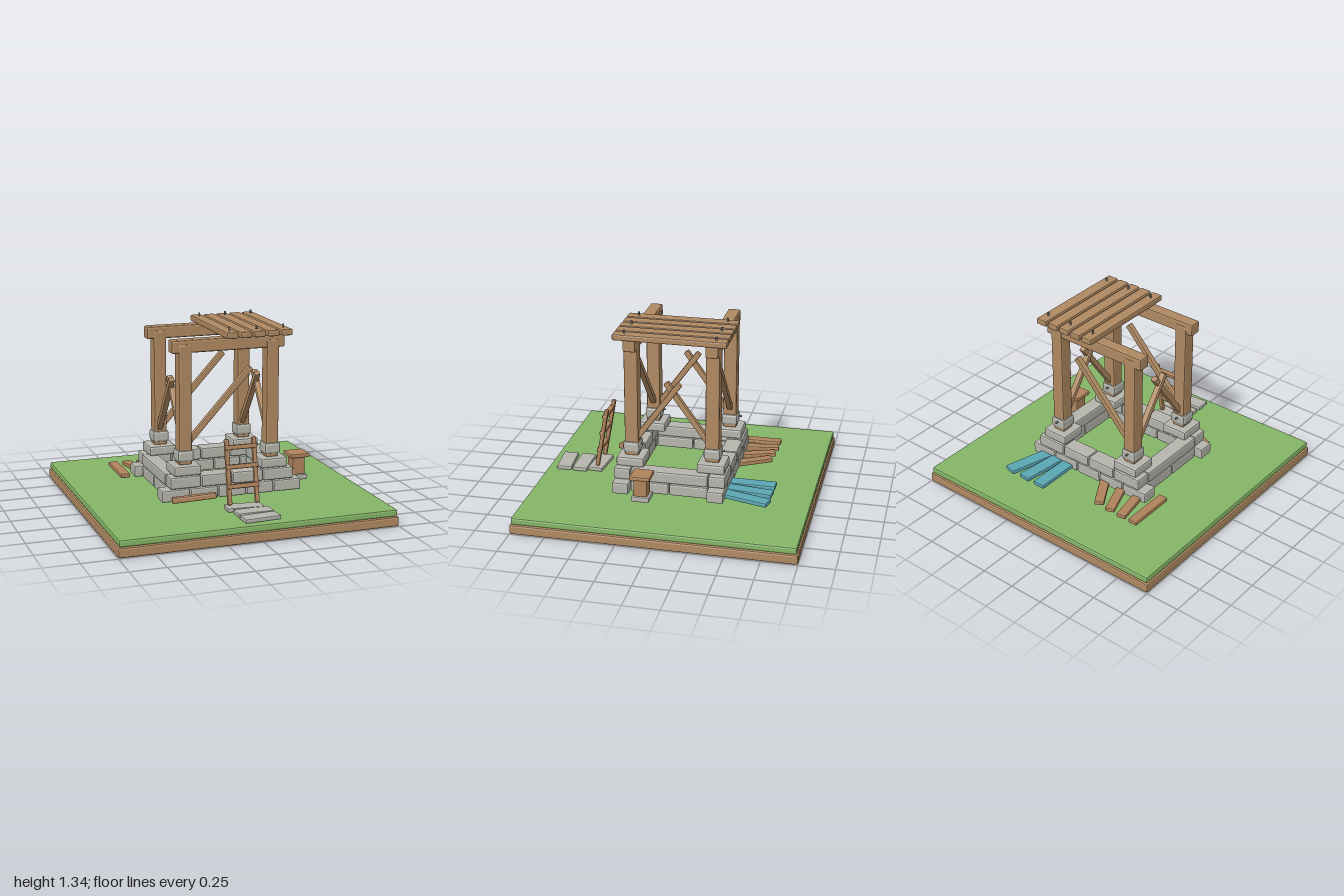
import * as THREE from 'three';
import { RoundedBoxGeometry } from 'three/addons/geometries/RoundedBoxGeometry.js';

const material = (name, color) => {
  const m = new THREE.MeshStandardMaterial({ color });
  m.name = name;
  return m;
};

export function createModel() {
  const wood = material('wood', 0xb08a62);
  const warmWood = material('warm wood', 0xb0845c);
  const stone = material('stone', 0xb6b6ae);
  const grass = material('grass', 0x86b668);
  const teal = material('teal paint', 0x5aa7b4);
  const iron = material('iron', 0x80807c);

  const model = new THREE.Group();
  model.name = 'unfinishedTimberFrame';

  // Box with chamfered edges, placed by its centre
  function block(name, mat, [w, h, d], [x, y, z], bevel = 0.01, parent = model) {
    const g = new RoundedBoxGeometry(w, h, d, 1, Math.min(bevel, w * 0.3, h * 0.3, d * 0.3));
    g.computeVertexNormals();
    const mesh = new THREE.Mesh(g, mat);
    mesh.name = name;
    mesh.position.set(x, y, z);
    parent.add(mesh);
    return mesh;
  }

  // Square timber between two points
  function timber(name, mat, from, to, size) {
    const a = new THREE.Vector3(...from), b = new THREE.Vector3(...to);
    const mesh = block(name, mat, [size, size, a.distanceTo(b)], a.clone().add(b).multiplyScalar(0.5).toArray(), 0.008);
    mesh.lookAt(b);
    return mesh;
  }

  function nail(x, y, z, alongZ = false) {
    const mesh = new THREE.Mesh(new THREE.CylinderGeometry(0.007, 0.007, 0.03, 8), iron);
    mesh.name = 'nail';
    mesh.position.set(x, y, z);
    if (alongZ) mesh.rotation.x = Math.PI / 2;
    model.add(mesh);
  }

  // Ground
  block('soilSlab', wood, [2, 0.07, 2], [0, 0.035, 0], 0.012);
  block('grassSlab', grass, [1.98, 0.05, 1.98], [0, 0.095, 0], 0.012);

  // Two courses of stone on each side
  for (const s of [1, -1]) {
    [[1.04, 5, 0.188], [0.92, 4, 0.277]].forEach(([length, count, y]) => {
      const step = length / count;
      for (let i = 0; i < count; i++) {
        block('wallStone', stone, [step - 0.006, 0.085, 0.12], [(i + 0.5) * step - length / 2, y, s * 0.34], 0.012);
      }
    });
    for (let i = 0; i < 2; i++) {
      block('sideWallStone', stone, [0.11, 0.085, 0.275], [s * 0.405, 0.188, (i - 0.5) * 0.28], 0.012);
    }
    block('sideWallStone', stone, [0.11, 0.085, 0.555], [s * 0.405, 0.277, 0], 0.012);
  }

  // Piers, posts and caps at the four corners
  for (const x of [-0.325, 0.32]) {
    for (const z of [-0.29, 0.29]) {
      block('pierStone', stone, [0.2, 0.07, 0.2], [x, 0.355, z], 0.014);
      block('postCollar', stone, [0.12, 0.085, 0.12], [x, 0.45, z], 0.018);
      block('post', wood, [0.095, 0.85, 0.1], [x, 0.81, z], 0.012);
      nail(x, 0.465, z - 0.068, true);
    }
  }

  // Beams and diagonal braces
  for (const s of [1, -1]) {
    block('beam', wood, [0.83, 0.09, 0.09], [-0.005, 1.22, s * 0.29], 0.012);
    timber('longBrace', wood, [-0.29, 0.54, s * 0.29], [0.17, 1.04, s * 0.29], 0.042);
    for (const x of [-0.325, 0.32]) {
      timber('crossBrace', wood, [x + s * 0.006, 0.51, s * 0.26], [x + s * 0.006, 0.94, s * -0.05], 0.042);
    }
  }

  // Roof planks, nailed on every other one
  for (let i = 0; i < 5; i++) {
    block('roofPlank', wood, [0.085, 0.045, 0.8], [i * 0.1, 1.288, 0], 0.01);
    if (i % 2 === 0) for (const z of [-0.32, 0.32]) nail(i * 0.1, 1.32, z);
  }

  // Ladder leaning back
  const ladder = new THREE.Group();
  ladder.name = 'ladder';
  ladder.position.set(-0.002, 0.38, 0.582);
  ladder.rotation.x = -0.175;
  model.add(ladder);
  for (const x of [-0.1, 0.1]) block('ladderRail', warmWood, [0.032, 0.455, 0.03], [x, 0, 0], 0.008, ladder);
  for (const y of [-0.1, 0.035, 0.168]) block('ladderRung', warmWood, [0.235, 0.032, 0.036], [0, y, 0.006], 0.008, ladder);

  // Stepping stones: x, z, turn
  for (const [x, z, turn] of [[0, 0.625, -0.08], [0.025, 0.745, 0], [0.025, 0.873, 0.08]]) {
    block('steppingStone', stone, [0.26, 0.03, 0.11], [x, 0.133, z], 0.008).rotation.y = turn;
  }

  // Loose log in front of the wall
  const log = block('looseLog', warmWood, [0.31, 0.042, 0.042], [-0.31, 0.187, 0.475], 0.01);
  log.rotation.set(0, -0.26, 0.11);

  // Small stand
  block('standFoot', stone, [0.13, 0.04, 0.13], [0.58, 0.18, 0.163], 0.01);
  block('standBody', warmWood, [0.1, 0.14, 0.1], [0.58, 0.262, 0.163], 0.012);
  block('standTop', warmWood, [0.15, 0.03, 0.145], [0.58, 0.342, 0.163], 0.008);

  // Planks fanned out behind the wall
  for (let i = 0; i < 4; i++) {
    block('loosePlank', warmWood, [0.07, 0.032, 0.36], [-0.587 + i * 0.134, 0.165, -0.455], 0.008).rotation.y = i * 0.175;
  }
  for (const [x, turn] of [[0.195, 0], [0.313, -0.12], [0.43, -0.27]]) {
    block('tealPlank', teal, [0.095, 0.032, 0.36], [x, 0.17, -0.54], 0.008).rotation.y = turn;
  }

  return model;
}
